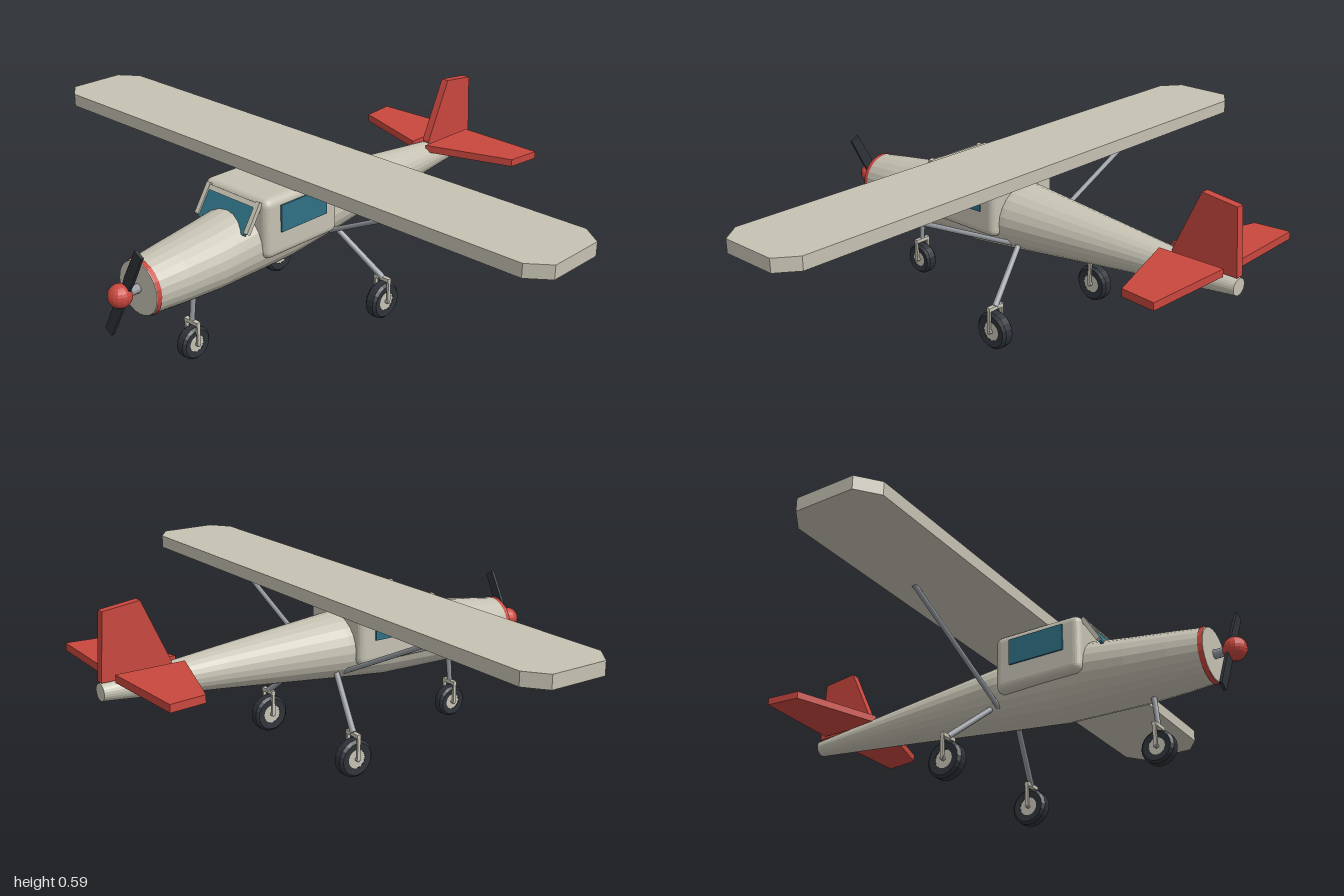
import * as THREE from 'three';
import { RoundedBoxGeometry } from 'three/addons/geometries/RoundedBoxGeometry.js';

const material = (name, color, flat = true) => {
  const m = new THREE.MeshStandardMaterial({ color, flatShading: flat });
  m.name = name;
  return m;
};

export function createModel() {
  const cream = material('cream paint', 0xc6c2b3);
  const red = material('red paint', 0xc8473e);
  const glass = material('blue glass', 0x2f7085);
  const dark = material('dark rubber', 0x2e3339);
  const metal = material('grey metal', 0x959a9f, false);

  const model = new THREE.Group();
  model.name = 'lightAircraft';

  const add = (name, geometry, mat, x = 0, y = 0, z = 0, parent = model) => {
    const mesh = new THREE.Mesh(geometry, mat);
    mesh.name = name;
    mesh.position.set(x, y, z);
    parent.add(mesh);
    return mesh;
  };

  // Round bar between two points
  const bar = (name, from, to, r0, r1, mat) => {
    const a = new THREE.Vector3(...from), b = new THREE.Vector3(...to);
    const dir = b.clone().sub(a);
    const mesh = add(name, new THREE.CylinderGeometry(r1, r0, dir.length(), 10), mat);
    mesh.position.copy(a).add(b).multiplyScalar(0.5);
    mesh.quaternion.setFromUnitVectors(new THREE.Vector3(0, 1, 0), dir.normalize());
    return mesh;
  };

  const extrude = (points, depth) => {
    const shape = new THREE.Shape(points.map(([x, y]) => new THREE.Vector2(x, y)));
    return new THREE.ExtrudeGeometry(shape, { depth, bevelEnabled: false });
  };
  // Horizontal slab from an outline in x and z
  const slab = (points, thickness) =>
    extrude(points.map(([x, z]) => [x, -z]), thickness).rotateX(-Math.PI / 2);

  // Fuselage lofted through oval rings: z, centre height, half width, half height
  const loft = (rings, sides) => {
    const pos = [], idx = [];
    rings.forEach(([z, cy, rx, ry]) => {
      for (let i = 0; i < sides; i++) {
        const a = (i / sides) * Math.PI * 2;
        pos.push(Math.cos(a) * rx, cy + Math.sin(a) * ry, z);
      }
    });
    for (let k = 0; k < rings.length - 1; k++) {
      for (let i = 0; i < sides; i++) {
        const j = (i + 1) % sides, p = k * sides, q = p + sides;
        idx.push(p + i, q + i, q + j, p + i, q + j, p + j);
      }
    }
    const last = (rings.length - 1) * sides;
    for (let i = 1; i < sides - 1; i++) {
      idx.push(0, i, i + 1, last, last + i + 1, last + i);
    }
    const g = new THREE.BufferGeometry();
    g.setAttribute('position', new THREE.Float32BufferAttribute(pos, 3));
    g.setIndex(idx);
    g.computeVertexNormals();
    return g;
  };
  add('fuselage', loft([
    [0.69, 0.302, 0.083, 0.082],
    [0.58, 0.307, 0.099, 0.092],
    [0.45, 0.314, 0.112, 0.102],
    [0.3, 0.328, 0.119, 0.113],
    [0.17, 0.335, 0.12, 0.118],
    [0, 0.34, 0.113, 0.104],
    [-0.4, 0.344, 0.068, 0.064],
    [-0.785, 0.345, 0.027, 0.026],
  ], 24), cream);

  // Red band around the nose
  add('noseBand', new THREE.CylinderGeometry(0.086, 0.087, 0.015, 24, 1, true).rotateX(Math.PI / 2),
    red, 0, 0.302, 0.6825);

  // Propeller
  add('propellerShaft', new THREE.CylinderGeometry(0.014, 0.014, 0.06, 12).rotateX(Math.PI / 2),
    metal, 0, 0.302, 0.715);
  add('spinner', new THREE.SphereGeometry(0.036, 16, 12), red, 0, 0.302, 0.754);
  const propeller = new THREE.Group();
  propeller.name = 'propeller';
  propeller.position.set(0, 0.302, 0.735);
  propeller.rotation.z = -0.49;
  model.add(propeller);
  for (const s of [1, -1]) {
    add('propellerBlade', extrude([[-0.012, 0], [0.012, 0], [0.018, s * 0.06],
      [0.016, s * 0.168], [-0.016, s * 0.168], [-0.018, s * 0.06]], 0.009), dark, 0, 0, 0, propeller);
  }

  // Cabin with side windows
  add('cabin', new RoundedBoxGeometry(0.274, 0.19, 0.302, 3, 0.024), cream, 0, 0.393, 0.17);
  for (const s of [1, -1]) {
    add('sideWindow', new THREE.BoxGeometry(0.008, 0.086, 0.19), glass, s * 0.138, 0.42, 0.17);
  }

  // Sloping windscreen and its frame
  const tilt = -Math.atan2(0.05, 0.08);
  add('windscreen', new THREE.BoxGeometry(0.2, 0.088, 0.008), glass, 0, 0.425, 0.351).rotation.x = tilt;
  for (const s of [1, -1]) {
    add('windscreenPillar', new THREE.BoxGeometry(0.016, 0.1, 0.014), cream,
      s * 0.106, 0.437, 0.346).rotation.x = tilt;
  }
  add('windscreenHeader', new THREE.BoxGeometry(0.226, 0.016, 0.014), cream,
    0, 0.468, 0.325).rotation.x = tilt;

  // Wing with clipped corners
  add('wing', slab([[-0.935, -0.085], [0.935, -0.085], [1, -0.036], [1, 0.153], [0.935, 0.203],
    [-0.935, 0.203], [-1, 0.153], [-1, -0.036]], 0.042), cream, 0, 0.488, 0);

  // Tail surfaces
  add('tailFin', extrude([[-0.565, 0.375], [-0.785, 0.375], [-0.772, 0.58], [-0.655, 0.594],
    [-0.565, 0.4]], 0.026).translate(0, 0, -0.013).rotateY(-Math.PI / 2), red);
  for (const s of [1, -1]) {
    add('tailplane', slab([[s * 0.028, -0.53], [s * 0.315, -0.625], [s * 0.327, -0.74],
      [s * 0.028, -0.75]], 0.024), red, 0, 0.374, 0);
  }

  // Wheel with fork, axle along x
  const wheel = (name, x, z, r, w) => {
    const g = new THREE.Group();
    g.name = name;
    g.position.set(x, r, z);
    model.add(g);
    const profile = [[0.5, -0.9], [0.86, -1], [1, -0.6], [1, 0.6], [0.86, 1], [0.5, 0.9]]
      .map(([a, b]) => new THREE.Vector2(a * r, b * w));
    add('tyre', new THREE.LatheGeometry(profile, 20).rotateZ(Math.PI / 2), dark, 0, 0, 0, g);
    add('hub', new THREE.CylinderGeometry(r * 0.51, r * 0.51, w * 1.7, 12).rotateZ(Math.PI / 2),
      cream, 0, 0, 0, g);
    add('axle', new THREE.CylinderGeometry(0.007, 0.007, w * 2 + 0.016, 10).rotateZ(Math.PI / 2),
      metal, 0, 0, 0, g);
    const top = r + 0.016;
    add('forkCrown', new THREE.BoxGeometry(w * 2 + 0.018, 0.012, 0.014), cream, 0, top, 0, g);
    for (const s of [1, -1]) {
      add('forkLeg', new THREE.BoxGeometry(0.007, top, 0.011), cream, s * (w + 0.0055), top / 2, 0, g);
    }
  };
  wheel('noseWheel', 0, 0.5, 0.052, 0.02);
  bar('noseLeg', [0, 0.235, 0.489], [0, 0.125, 0.5], 0.009, 0.008, metal);
  for (const s of [1, -1]) {
    wheel('mainWheel', s * 0.236, -0.08, 0.06, 0.021);
    bar('mainLeg', [s * 0.07, 0.285, -0.028], [s * 0.236, 0.138, -0.08], 0.009, 0.01, metal);
    bar('wingStrut', [s * 0.08, 0.275, 0], [s * 0.53, 0.49, 0], 0.008, 0.008, metal);
  }

  return model;
}
